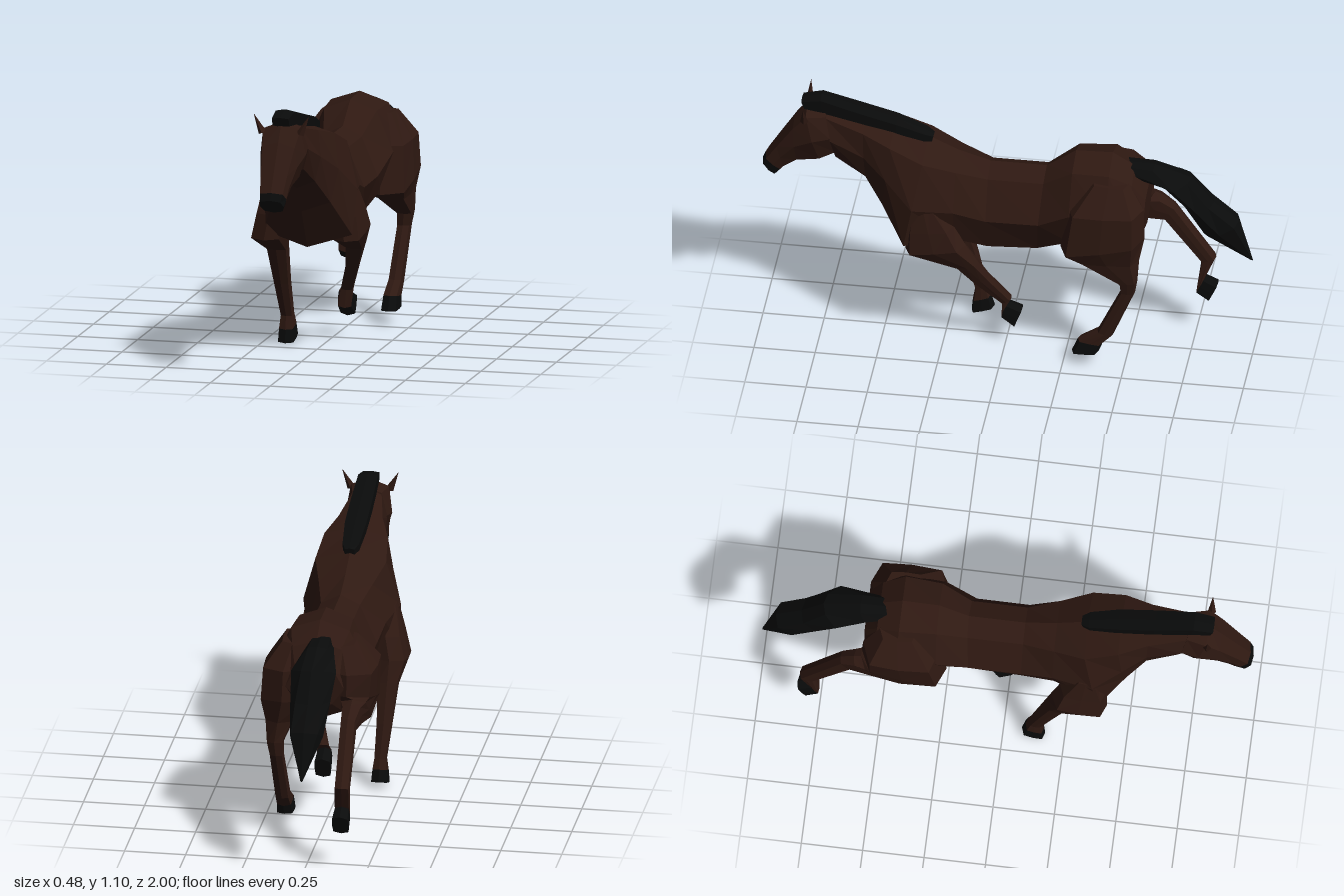
import * as THREE from 'three';

const coat = new THREE.MeshStandardMaterial({ color: 0x2f1912, flatShading: true });
const dark = new THREE.MeshStandardMaterial({ color: 0x0a0b0b, flatShading: true });

// One eight-sided cross-section between two points a and b on the plane x = x,
// bulging sideways by w1 (near a), w2 (middle) and w3 (near b).
function ring([x, az, ay, bz, by, w1, w2 = w1, w3 = w1]) {
  const at = (t, w) => [x + w, ay + (by - ay) * t, az + (bz - az) * t];
  return [at(0, 0), at(0.1, w1), at(0.5, w2), at(0.88, w3), at(1, 0), at(0.88, -w3), at(0.5, -w2), at(0.1, -w1)];
}

// Closed skin over a row of cross-sections
function loft(name, sections, material) {
  const n = 8, last = (sections.length - 1) * n, index = [];
  for (let i = 0; i < last; i += n) {
    for (let j = 0; j < n; j++) {
      const k = (j + 1) % n;
      index.push(i + j, i + n + j, i + k, i + k, i + n + j, i + n + k);
    }
  }
  for (let j = 1; j < n - 1; j++) index.push(0, j, j + 1, last, last + j + 1, last + j);
  const geometry = new THREE.BufferGeometry();
  geometry.setAttribute('position', new THREE.Float32BufferAttribute(sections.map(ring).flat(2), 3));
  geometry.setIndex(index);
  const flat = geometry.toNonIndexed();
  flat.computeVertexNormals();
  const mesh = new THREE.Mesh(flat, material);
  mesh.name = name;
  return mesh;
}

// A leg from the body down; the last two sections form the hoof
function leg(name, sections) {
  const group = new THREE.Group();
  group.name = name;
  const boxy = sections.map(([x, az, ay, bz, by, w]) => [x, az, ay, bz, by, w * 0.92, w, w * 0.92]);
  group.add(loft(name + 'Limb', boxy.slice(0, -1), coat));
  group.add(loft(name + 'Hoof', boxy.slice(-2), dark));
  return group;
}

export function createModel() {
  const horse = new THREE.Group();
  horse.name = 'gallopingHorse';

  // Trunk and neck, rump to throat
  horse.add(loft('body', [
    [0, -0.575, 0.78, -0.57, 0.6, 0.08, 0.12, 0.07],
    [0, -0.52, 0.875, -0.54, 0.54, 0.1, 0.18, 0.11],
    [0, -0.43, 0.93, -0.44, 0.52, 0.12, 0.2, 0.13],
    [0, -0.28, 0.925, -0.27, 0.51, 0.11, 0.18, 0.13],
    [0, -0.16, 0.84, -0.13, 0.445, 0.08, 0.15, 0.09],
    [0, 0.07, 0.84, 0.07, 0.44, 0.08, 0.15, 0.1],
    [0, 0.2, 0.88, 0.2, 0.475, 0.11, 0.165, 0.12],
    [0, 0.32, 0.935, 0.41, 0.455, 0.145, 0.2, 0.185],
    [0, 0.46, 0.98, 0.5, 0.62, 0.13, 0.15, 0.12],
    [0, 0.58, 1.005, 0.57, 0.73, 0.09, 0.1, 0.075],
    [0, 0.74, 1.04, 0.69, 0.81, 0.06, 0.085, 0.06],
  ], coat));

  // Head and muzzle
  horse.add(loft('head', [
    [0, 0.74, 1.045, 0.69, 0.825, 0.06, 0.085, 0.05],
    [0, 0.82, 1.05, 0.755, 0.788, 0.078, 0.095, 0.06],
    [0, 0.87, 0.98, 0.855, 0.775, 0.068, 0.077, 0.052],
    [0, 0.94, 0.87, 0.905, 0.745, 0.055, 0.06, 0.046],
    [0, 0.988, 0.795, 0.915, 0.735, 0.048, 0.055, 0.045],
  ], coat));
  horse.add(loft('muzzle', [
    [0, 0.988, 0.795, 0.915, 0.735, 0.048, 0.055, 0.045],
    [0, 1.0, 0.765, 0.94, 0.705, 0.04, 0.05, 0.038],
  ], dark));

  // Ears
  for (const side of [-1, 1]) {
    const ear = new THREE.Mesh(new THREE.ConeGeometry(0.017, 0.085, 4), coat);
    ear.name = side > 0 ? 'leftEar' : 'rightEar';
    ear.position.set(side * 0.097, 1.046, 0.82);
    ear.rotation.z = -side * 0.45;
    horse.add(ear);
  }

  // Mane, withers to forelock
  horse.add(loft('mane', [
    [0, 0.3, 0.95, 0.31, 0.91, 0.02],
    [0, 0.33, 0.965, 0.34, 0.92, 0.034],
    [0, 0.45, 1.01, 0.45, 0.955, 0.044],
    [0, 0.6, 1.05, 0.6, 0.99, 0.044],
    [0, 0.76, 1.095, 0.75, 1.02, 0.04],
    [0, 0.84, 1.075, 0.825, 1.035, 0.035],
  ], dark));

  // Tail, tip to root
  horse.add(loft('tail', [
    [-0.015, -1.0, 0.45, -0.99, 0.453, 0.004],
    [-0.015, -0.945, 0.64, -0.8, 0.56, 0.055, 0.068, 0.03],
    [-0.015, -0.84, 0.72, -0.71, 0.71, 0.055, 0.082, 0.04],
    [-0.015, -0.75, 0.83, -0.63, 0.785, 0.045, 0.092, 0.04],
    [-0.015, -0.6, 0.88, -0.55, 0.8, 0.04, 0.065, 0.03],
    [-0.015, -0.48, 0.885, -0.5, 0.82, 0.035, 0.05, 0.03],
  ], dark));

  // Legs, each in its own phase of the gallop
  horse.add(leg('leftFrontLeg', [
    [0.13, 0.36, 0.72, 0.29, 0.71, 0.05],
    [0.14, 0.39, 0.58, 0.2, 0.6, 0.06],
    [0.15, 0.395, 0.48, 0.15, 0.52, 0.06],
    [0.135, 0.19, 0.41, 0.1, 0.43, 0.037],
    [0.11, 0.12, 0.32, 0.06, 0.355, 0.029],
    [0.06, 0.015, 0.2, -0.025, 0.22, 0.026],
    [0.053, 0.015, 0.125, 0.0, 0.2, 0.03],
    [0.053, -0.035, 0.085, -0.07, 0.175, 0.033],
  ]));
  horse.add(leg('rightFrontLeg', [
    [-0.14, 0.38, 0.72, 0.3, 0.71, 0.05],
    [-0.158, 0.42, 0.58, 0.23, 0.6, 0.06],
    [-0.178, 0.425, 0.475, 0.2, 0.51, 0.063],
    [-0.172, 0.25, 0.4, 0.185, 0.42, 0.043],
    [-0.165, 0.2, 0.25, 0.14, 0.26, 0.032],
    [-0.155, 0.155, 0.11, 0.105, 0.12, 0.025],
    [-0.155, 0.165, 0.055, 0.09, 0.08, 0.031],
    [-0.155, 0.17, 0.0, 0.075, 0.03, 0.035],
  ]));
  horse.add(leg('leftHindLeg', [
    [0.1, -0.36, 0.86, -0.51, 0.85, 0.05],
    [0.13, -0.265, 0.74, -0.575, 0.75, 0.095],
    [0.135, -0.235, 0.545, -0.58, 0.62, 0.1],
    [0.155, -0.31, 0.51, -0.56, 0.52, 0.058],
    [0.17, -0.48, 0.42, -0.555, 0.43, 0.033],
    [0.165, -0.485, 0.37, -0.545, 0.37, 0.027],
    [0.155, -0.39, 0.165, -0.455, 0.15, 0.028],
    [0.155, -0.31, 0.115, -0.41, 0.1, 0.03],
    [0.155, -0.285, 0.055, -0.395, 0.06, 0.034],
  ]));
  horse.add(leg('rightHindLeg', [
    [-0.1, -0.36, 0.86, -0.51, 0.85, 0.05],
    [-0.13, -0.265, 0.74, -0.575, 0.75, 0.105],
    [-0.13, -0.235, 0.55, -0.58, 0.66, 0.095],
    [-0.155, -0.4, 0.5, -0.58, 0.65, 0.055],
    [-0.155, -0.55, 0.53, -0.61, 0.64, 0.04],
    [-0.15, -0.62, 0.53, -0.665, 0.6, 0.031],
    [-0.15, -0.77, 0.34, -0.83, 0.36, 0.03],
    [-0.145, -0.75, 0.19, -0.785, 0.265, 0.031],
    [-0.145, -0.8, 0.155, -0.84, 0.24, 0.034],
  ]));

  return horse;
}
